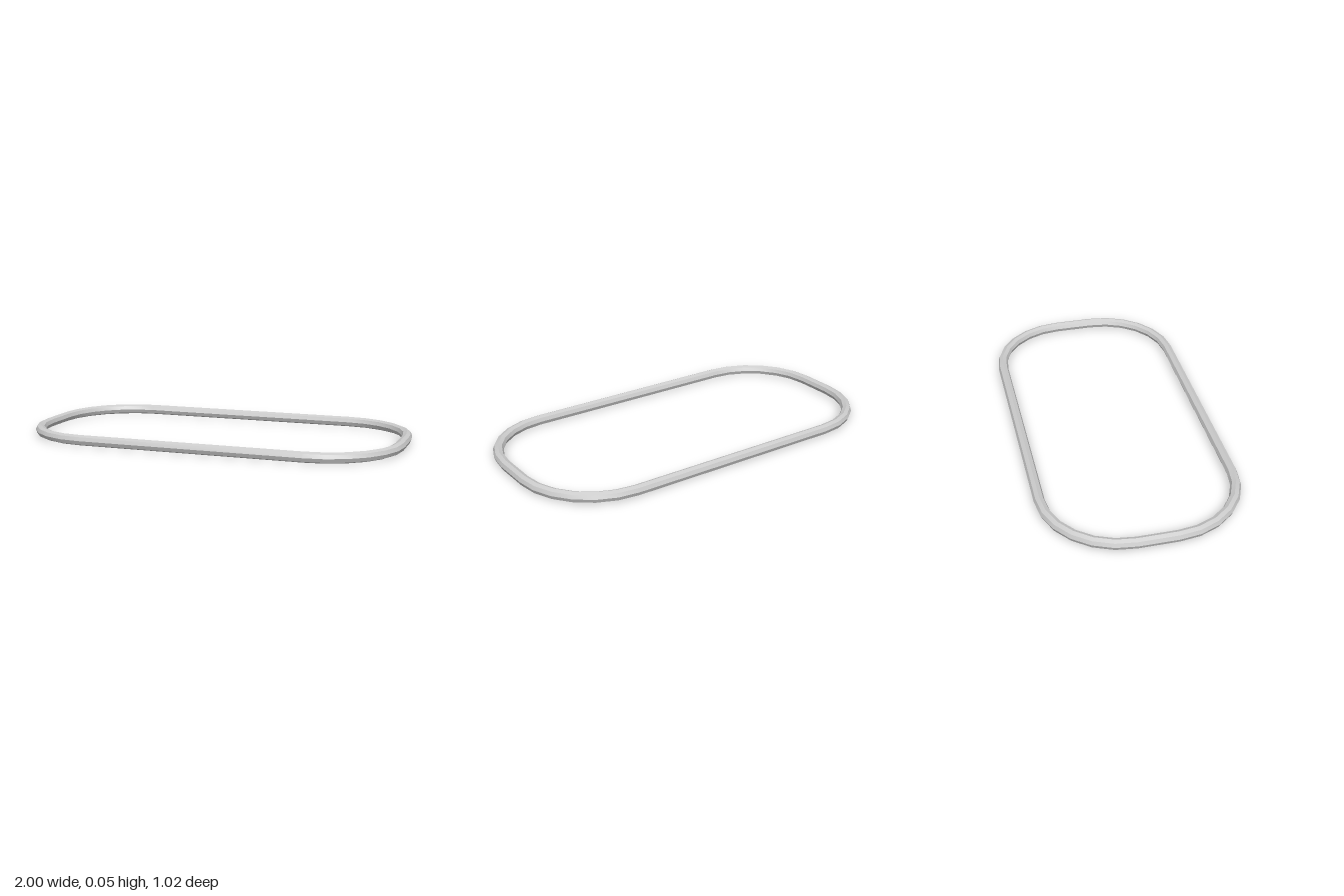
import * as THREE from 'three';
import { toCreasedNormals } from 'three/addons/utils/BufferGeometryUtils.js';

const TUBE = 0.027;          // tube radius
const SIDES = 8;             // octagonal section
const HALF_X = 1 - TUBE;     // centre line half extents
const HALF_Z = 0.512 - TUBE;
const CORNER = 0.385;        // centre line corner radius
const STEPS = 6;             // segments per corner

// Centre line of the rounded rectangle, with the outward direction at each point
function centreLine() {
  const points = [];
  const corners = [[1, 1], [-1, 1], [-1, -1], [1, -1]];
  corners.forEach(([sx, sz], c) => {
    for (let i = 0; i <= STEPS; i++) {
      const a = (c + i / STEPS) * Math.PI / 2;
      const nx = Math.cos(a), nz = Math.sin(a);
      points.push({
        x: sx * (HALF_X - CORNER) + CORNER * nx,
        z: sz * (HALF_Z - CORNER) + CORNER * nz,
        nx, nz,
      });
    }
  });
  return points;
}

// Sweep the octagon round the closed centre line
function ringGeometry() {
  const path = centreLine();
  const positions = [], index = [];
  for (const p of path) {
    for (let j = 0; j < SIDES; j++) {
      const b = j / SIDES * Math.PI * 2;
      const out = TUBE * Math.cos(b);
      positions.push(p.x + p.nx * out, TUBE + TUBE * Math.sin(b), p.z + p.nz * out);
    }
  }
  for (let i = 0; i < path.length; i++) {
    const next = (i + 1) % path.length;
    for (let j = 0; j < SIDES; j++) {
      const k = (j + 1) % SIDES;
      const a = i * SIDES + j, b = i * SIDES + k;
      const c = next * SIDES + k, d = next * SIDES + j;
      index.push(a, b, c, a, c, d);
    }
  }
  const geometry = new THREE.BufferGeometry();
  geometry.setAttribute('position', new THREE.Float32BufferAttribute(positions, 3));
  geometry.setIndex(index);
  // Smooth along the bends, crisp between the octagon faces
  return toCreasedNormals(geometry, Math.PI / 6);
}

export function createModel() {
  const group = new THREE.Group();
  group.name = 'roundedRing';
  const ring = new THREE.Mesh(ringGeometry(), new THREE.MeshStandardMaterial({ color: 0xcccccc }));
  ring.name = 'tubeFrame';
  group.add(ring);
  return group;
}
